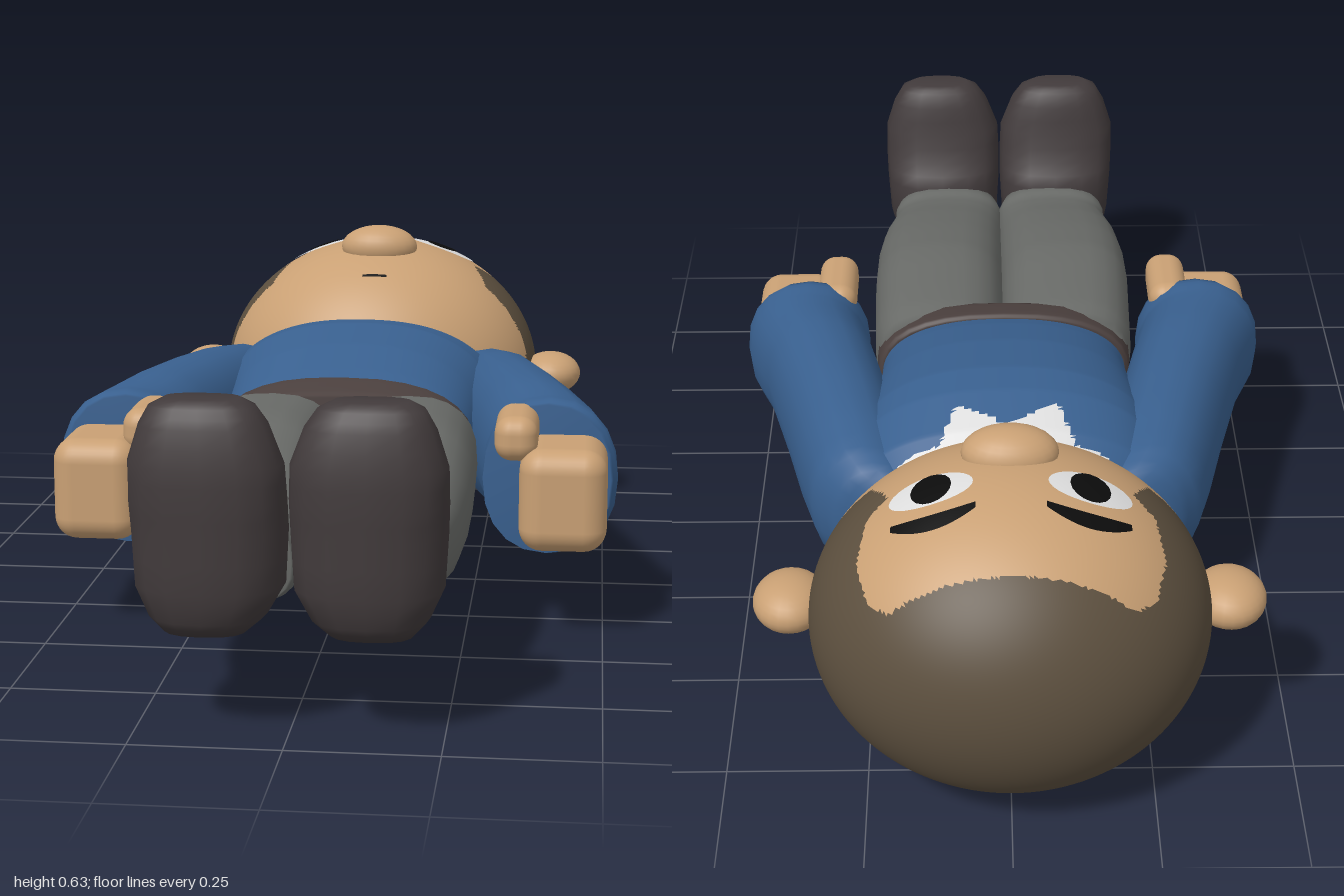
import * as THREE from 'three';
import { RoundedBoxGeometry } from 'three/addons/geometries/RoundedBoxGeometry.js';

// Head ellipsoid: centre and radii
const HEAD = { y: 0.298, z: -0.681, rx: 0.346, ry: 0.294, rz: 0.318 };

// Piecewise linear lookup in [[input, output], ...]
function lookup(points, t) {
  if (t <= points[0][0]) return points[0][1];
  for (let i = 1; i < points.length; i++) {
    const [a, va] = points[i - 1], [b, vb] = points[i];
    if (t <= b) return va + (vb - va) * (t - a) / (b - a);
  }
  return points[points.length - 1][1];
}

// Closed loft along z; each section is [z, centreX, radiusX, yLow, yHigh]
function loft(sections, side = 1, power = 0.8, segments = 24, steps = 3) {
  const curves = sections[0].map((_, k) => sections.map((s) => s[k]));
  const last = (sections.length - 1) * steps;
  const positions = [], index = [];
  const bend = (v) => Math.sign(v) * Math.abs(v) ** power;
  for (let i = 0; i <= last; i++) {
    const [z, cx, rx, lo, hi] = curves.map((c) => {
      const k = Math.min(Math.floor(i / steps), c.length - 2), t = i / steps - k;
      return c[k] + (c[k + 1] - c[k]) * t;
    });
    for (let j = 0; j < segments; j++) {
      const a = (j / segments) * Math.PI * 2;
      positions.push(side * cx + rx * bend(Math.cos(a)), (lo + hi) / 2 + (hi - lo) / 2 * bend(Math.sin(a)), z);
    }
  }
  for (let i = 0; i < last; i++) {
    for (let j = 0; j < segments; j++) {
      const a = i * segments + j, b = i * segments + (j + 1) % segments;
      index.push(a, b, b + segments, a, b + segments, a + segments);
    }
  }
  // End caps
  const start = positions.length / 3;
  for (const s of [sections[0], sections[sections.length - 1]]) positions.push(side * s[1], (s[3] + s[4]) / 2, s[0]);
  for (let j = 0; j < segments; j++) {
    const n = (j + 1) % segments;
    index.push(start, n, j, start + 1, last * segments + j, last * segments + n);
  }
  const g = new THREE.BufferGeometry();
  g.setAttribute('position', new THREE.Float32BufferAttribute(positions, 3));
  g.setIndex(index);
  g.computeVertexNormals();
  return g;
}

// Split the faces into two material groups by a rule on the face centre
function splitFaces(g, rule) {
  const p = g.attributes.position, src = g.index.array, lists = [[], []];
  for (let i = 0; i < src.length; i += 3) {
    const f = [src[i], src[i + 1], src[i + 2]];
    const mean = (get) => f.reduce((sum, v) => sum + get(v), 0) / 3;
    const second = rule(mean((v) => p.getX(v)), mean((v) => p.getY(v)), mean((v) => p.getZ(v)));
    lists[second ? 1 : 0].push(...f);
  }
  g.setIndex([...lists[0], ...lists[1]]);
  g.clearGroups();
  g.addGroup(0, lists[0].length, 0);
  g.addGroup(lists[0].length, lists[1].length, 1);
  return g;
}

// Lay a flat XY shape on the face, just above the skin
function drape(g, cx, cz, lift) {
  const p = g.attributes.position;
  for (let i = 0; i < p.count; i++) {
    const x = cx + p.getX(i), z = cz - p.getY(i);
    const r = 1 - (x / HEAD.rx) ** 2 - ((z - HEAD.z) / HEAD.rz) ** 2;
    p.setXYZ(i, x, HEAD.y + HEAD.ry * Math.sqrt(Math.max(r, 0)) + lift, z);
  }
  g.computeVertexNormals();
  return g;
}

export function createModel() {
  const model = new THREE.Group();
  const paint = (name, color) => {
    const m = new THREE.MeshStandardMaterial({ color });
    m.name = name;
    return m;
  };
  const skin = paint('skin', 0xc9a074), hair = paint('hair', 0x5c4f3e), shirt = paint('shirt blue', 0x39608f);
  const white = paint('white', 0xdedede), trousers = paint('trouser grey', 0x696b68);
  const leather = paint('shoe leather', 0x413a3b), beltBrown = paint('belt brown', 0x4b403e), black = paint('black', 0x0c0c0c);
  const add = (name, geometry, material) => {
    const mesh = new THREE.Mesh(geometry, material);
    mesh.name = name;
    model.add(mesh);
  };
  const ellipsoid = (rx, ry, rz, x, y, z, w = 24, h = 16) =>
    new THREE.SphereGeometry(1, w, h).scale(rx, ry, rz).translate(x, y, z);

  // Head with a hair cap: open face window and sideburns
  const faceWindow = [[-0.88, 0.2], [-0.85, 0.235], [-0.78, 0.255], [-0.7, 0.24], [-0.67, 0.205], [-0.6, 0.235]];
  const isHair = (x, y, z) => {
    if (z > (y < 0.35 ? -0.555 - 0.1 * y : -0.595)) return false;
    return !(y > HEAD.y && z > -0.88 && Math.abs(x) < lookup(faceWindow, z));
  };
  add('head', splitFaces(ellipsoid(HEAD.rx, HEAD.ry, HEAD.rz, 0, HEAD.y, HEAD.z, 200, 140), isHair), [skin, hair]);
  add('nose', ellipsoid(0.083, 0.047, 0.055, 0, 0.583, -0.608), skin);
  add('mouth', drape(new THREE.PlaneGeometry(0.052, 0.006, 8, 1), 0, -0.49, 0.003), black);

  // Torso with a pointed white collar that stops short of the nape
  const collarEdge = [[0, -0.33], [0.093, -0.277], [0.122, -0.36], [0.17, -0.365], [0.27, -0.4]];
  const isCollar = (x, y, z) => y > 0.18 && z < (y > 0.32 ? lookup(collarEdge, Math.abs(x)) : -0.392);
  const torso = loft([
    [-0.43, 0, 0.18, 0.19, 0.375], [-0.4, 0, 0.25, 0.145, 0.415], [-0.34, 0, 0.285, 0.115, 0.452],
    [-0.25, 0, 0.29, 0.095, 0.48], [-0.18, 0, 0.28, 0.1, 0.485], [-0.05, 0, 0.255, 0.135, 0.465],
    [0.06, 0, 0.243, 0.15, 0.435], [0.13, 0, 0.243, 0.16, 0.41],
  ], 1, 0.85, 144, 13);
  add('torso', splitFaces(torso, isCollar), [shirt, white]);
  add('belt', loft([[0.1, 0, 0.243, 0.155, 0.42], [0.11, 0, 0.252, 0.15, 0.428], [0.17, 0, 0.256, 0.155, 0.415],
    [0.19, 0, 0.24, 0.165, 0.405]], 1, 0.8, 32), beltBrown);

  for (const side of [1, -1]) {
    const label = side > 0 ? 'left' : 'right';

    // Face details
    add(label + 'Ear', ellipsoid(0.065, 0.046, 0.073, side * 0.38, 0.302, -0.645), skin);
    const eye = new THREE.RingGeometry(0, 1, 28, 5).scale(0.07, 0.038, 1);
    add(label + 'Eye', drape(eye, side * 0.132, -0.7, 0.003), white);
    const pupil = new THREE.RingGeometry(0, 1, 16, 3).scale(0.034, 0.036, 1);
    add(label + 'Pupil', drape(pupil, side * 0.132, -0.701, 0.006), black);
    const brow = new THREE.PlaneGeometry(0.14, 0.03, 14, 2);
    const bp = brow.attributes.position;
    for (let i = 0; i < bp.count; i++) {
      const t = bp.getX(i) / 0.07;
      bp.setY(i, bp.getY(i) * (1 - 0.6 * t * t) + 0.01 - 0.018 * t * t);
    }
    add(label + 'Eyebrow', drape(brow, side * 0.128, -0.766, 0.004), black);

    // Sleeve widening towards the cuff
    add(label + 'Sleeve', loft([
      [-0.405, 0.2, 0.06, 0.2, 0.36], [-0.38, 0.235, 0.085, 0.165, 0.39], [-0.33, 0.262, 0.1, 0.14, 0.41],
      [-0.22, 0.288, 0.105, 0.128, 0.425], [-0.08, 0.32, 0.108, 0.135, 0.432], [0.08, 0.36, 0.112, 0.147, 0.432],
      [0.2, 0.394, 0.122, 0.132, 0.422], [0.24, 0.398, 0.125, 0.128, 0.423], [0.265, 0.392, 0.118, 0.135, 0.415],
    ], side, 0.9, 20), shirt);

    // Hand and thumb
    add(label + 'Hand', new RoundedBoxGeometry(0.158, 0.188, 0.24, 4, 0.042).translate(side * 0.424, 0.266, 0.302), skin);
    add(label + 'Thumb', new RoundedBoxGeometry(0.078, 0.082, 0.17, 4, 0.032).translate(side * 0.338, 0.373, 0.307), skin);

    // Trouser legs meeting in the middle, with a slight fold at the ankle
    add(label + 'Leg', loft([
      [0.13, 0.124, 0.124, 0.165, 0.4], [0.2, 0.129, 0.132, 0.16, 0.412], [0.4, 0.132, 0.135, 0.17, 0.418],
      [0.54, 0.131, 0.135, 0.165, 0.395], [0.65, 0.127, 0.131, 0.163, 0.37], [0.72, 0.121, 0.125, 0.172, 0.35],
      [0.77, 0.116, 0.12, 0.178, 0.34], [0.8, 0.116, 0.12, 0.18, 0.345], [0.84, 0.116, 0.11, 0.19, 0.335],
    ], side, 0.74), trousers);

    // Shoe, lofted from heel to toe and turned so the toe points up
    add(label + 'Shoe', loft([
      [0.175, 0.133, 0.068, -0.97, -0.86], [0.2, 0.13, 0.095, -0.99, -0.822], [0.25, 0.127, 0.121, -1, -0.8],
      [0.34, 0.127, 0.126, -1, -0.8], [0.39, 0.128, 0.127, -1, -0.832], [0.45, 0.129, 0.125, -0.997, -0.852],
      [0.51, 0.131, 0.104, -0.985, -0.866], [0.54, 0.133, 0.085, -0.97, -0.88], [0.553, 0.133, 0.06, -0.955, -0.895],
    ], side, 0.8, 16, 2).rotateX(-Math.PI / 2), leather);
  }
  return model;
}
